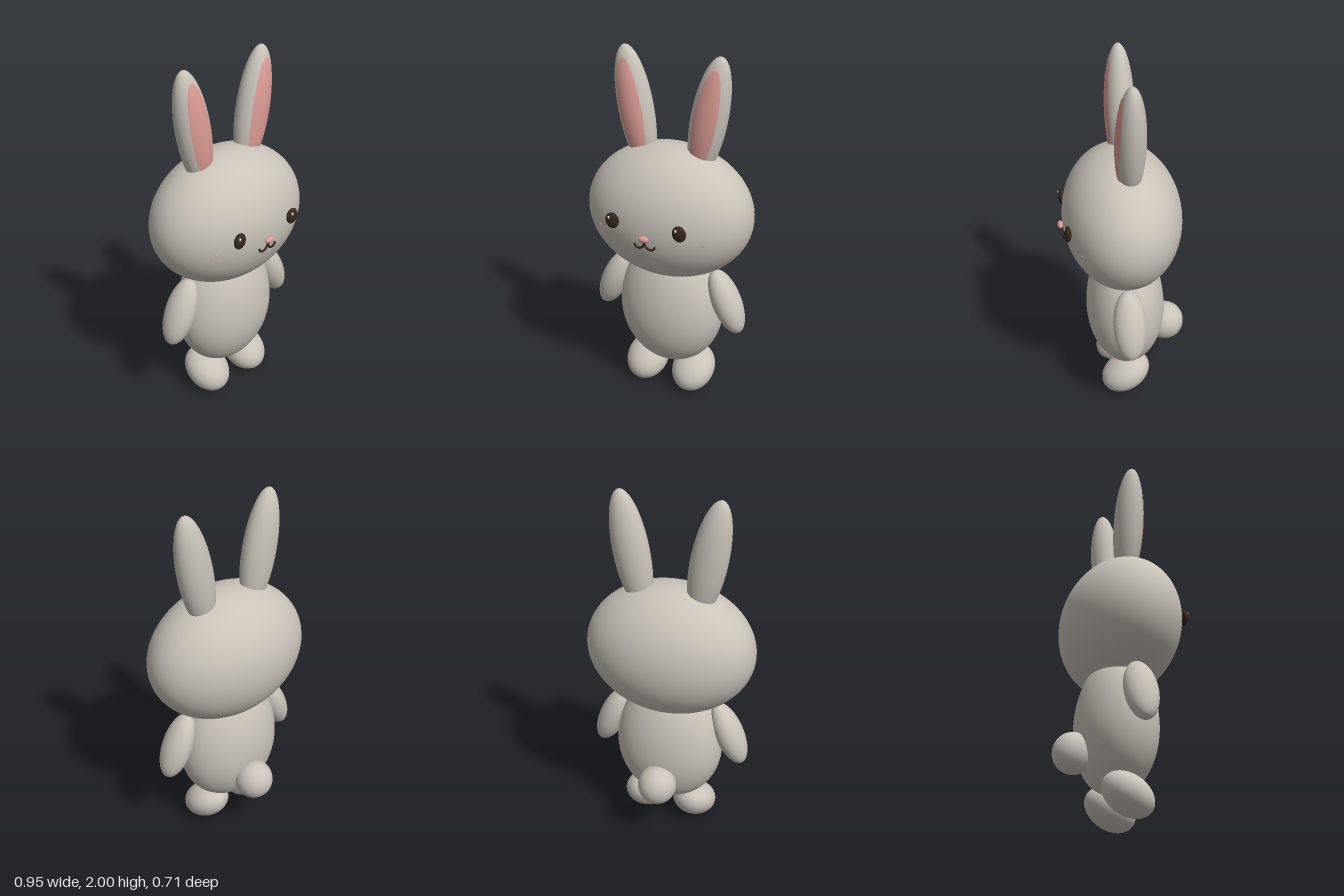
import * as THREE from 'three';

export function createModel() {
  const mat = (name, color) => {
    const m = new THREE.MeshStandardMaterial({ color });
    m.name = name;
    return m;
  };
  const fur = mat('warm grey fur', 0xc9c3b9);
  const pink = mat('soft pink', 0xdc9c95);
  const dark = mat('dark brown', 0x37281f);
  const white = mat('eye highlight white', 0xf4f0ea);

  const root = new THREE.Group();
  root.name = 'bunny';

  const add = (name, geometry, material, parent = root) => {
    const mesh = new THREE.Mesh(geometry, material);
    mesh.name = name;
    parent.add(mesh);
    return mesh;
  };
  // Smooth ellipsoid with radii r, centred at p
  const ellipsoid = (name, material, r, p, parent = root, seg = 48) => {
    const mesh = add(name, new THREE.SphereGeometry(1, seg, Math.round(seg * 0.67)).scale(...r), material, parent);
    mesh.position.set(...p);
    return mesh;
  };

  // Head and tail
  ellipsoid('head', fur, [0.475, 0.38, 0.325], [0, 1.115, 0.005], root, 64);
  ellipsoid('tail', fur, [0.108, 0.112, 0.108], [0, 0.357, -0.25]);

  // Egg-shaped body, taller above its widest ring than below
  const bodyGeo = new THREE.SphereGeometry(1, 64, 44);
  const bp = bodyGeo.attributes.position;
  for (let i = 0; i < bp.count; i++) {
    const y = bp.getY(i);
    bp.setXYZ(i, bp.getX(i) * 0.305, y * (y > 0 ? 0.42 : 0.355), bp.getZ(i) * 0.221);
  }
  // Keep normals exact across the seam: ellipsoid gradient
  const bn = bodyGeo.attributes.normal;
  const n = new THREE.Vector3();
  for (let i = 0; i < bp.count; i++) {
    const y = bp.getY(i), ry = y > 0 ? 0.42 : 0.355;
    n.set(bp.getX(i) / 0.305 ** 2, y / ry ** 2, bp.getZ(i) / 0.221 ** 2).normalize();
    bn.setXYZ(i, n.x, n.y, n.z);
  }
  add('body', bodyGeo, fur).position.set(0, 0.505, -0.014);

  // Inner ear: an oval patch following the front of the ear
  const earR = [0.1, 0.345, 0.08];
  const innerEar = new THREE.RingGeometry(0.001, 1, 48, 10);
  const ip = innerEar.attributes.position;
  for (let i = 0; i < ip.count; i++) {
    const x = ip.getX(i) * 0.065, y = ip.getY(i) * 0.285;
    const z = earR[2] * Math.sqrt(1 - (x / earR[0]) ** 2 - (y / earR[1]) ** 2);
    ip.setXYZ(i, x, y, z + 0.003);
  }
  innerEar.computeVertexNormals();

  for (const [side, s] of [['left', 1], ['right', -1]]) {
    // Ears
    const ear = new THREE.Group();
    ear.name = side + 'Ear';
    ear.position.set(s * 0.212, 1.658, -0.013);
    ear.rotation.z = -s * 0.184;
    root.add(ear);
    ellipsoid(side + 'EarOuter', fur, earR, [0, 0, 0], ear);
    add(side + 'EarInner', innerEar, pink, ear);

    // Arms
    const arm = ellipsoid(side + 'Arm', fur, [0.08, 0.197, 0.091], [s * 0.344, 0.612, 0.006]);
    arm.rotation.z = s * 0.415;

    // Feet, toes tipped down
    const foot = ellipsoid(side + 'Foot', fur, [0.123, 0.102, 0.149], [s * 0.147, 0.119, 0.002]);
    foot.rotation.x = 0.56;

    // Eyes with a small highlight
    ellipsoid(side + 'Eye', dark, [0.039, 0.045, 0.019], [s * 0.194, 1.139, 0.316], root, 32);
    ellipsoid(side + 'EyeHighlight', white, [0.007, 0.009, 0.004], [s * 0.194 - 0.013, 1.16, 0.332], root, 12);

    // Faint cheek mark, barely above the fur
    ellipsoid(side + 'Cheek', pink, [0.006, 0.008, 0.004], [s * 0.3, 1.065, 0.253], root, 12);

    // Half of the mouth: stem curling outwards
    const curve = new THREE.CatmullRomCurve3([
      [0, 1.064, 0.331], [s * 0.004, 1.04, 0.329], [s * 0.018, 1.021, 0.327],
      [s * 0.038, 1.017, 0.326], [s * 0.053, 1.023, 0.325], [s * 0.058, 1.034, 0.324],
    ].map((p) => new THREE.Vector3(...p)));
    add(side + 'Mouth', new THREE.TubeGeometry(curve, 24, 0.006, 8), dark);
    ellipsoid(side + 'MouthCorner', dark, [0.006, 0.006, 0.006], [s * 0.058, 1.034, 0.324], root, 12);
  }

  // Nose
  ellipsoid('nose', pink, [0.03, 0.018, 0.016], [0, 1.078, 0.341], root, 32);

  return root;
}
